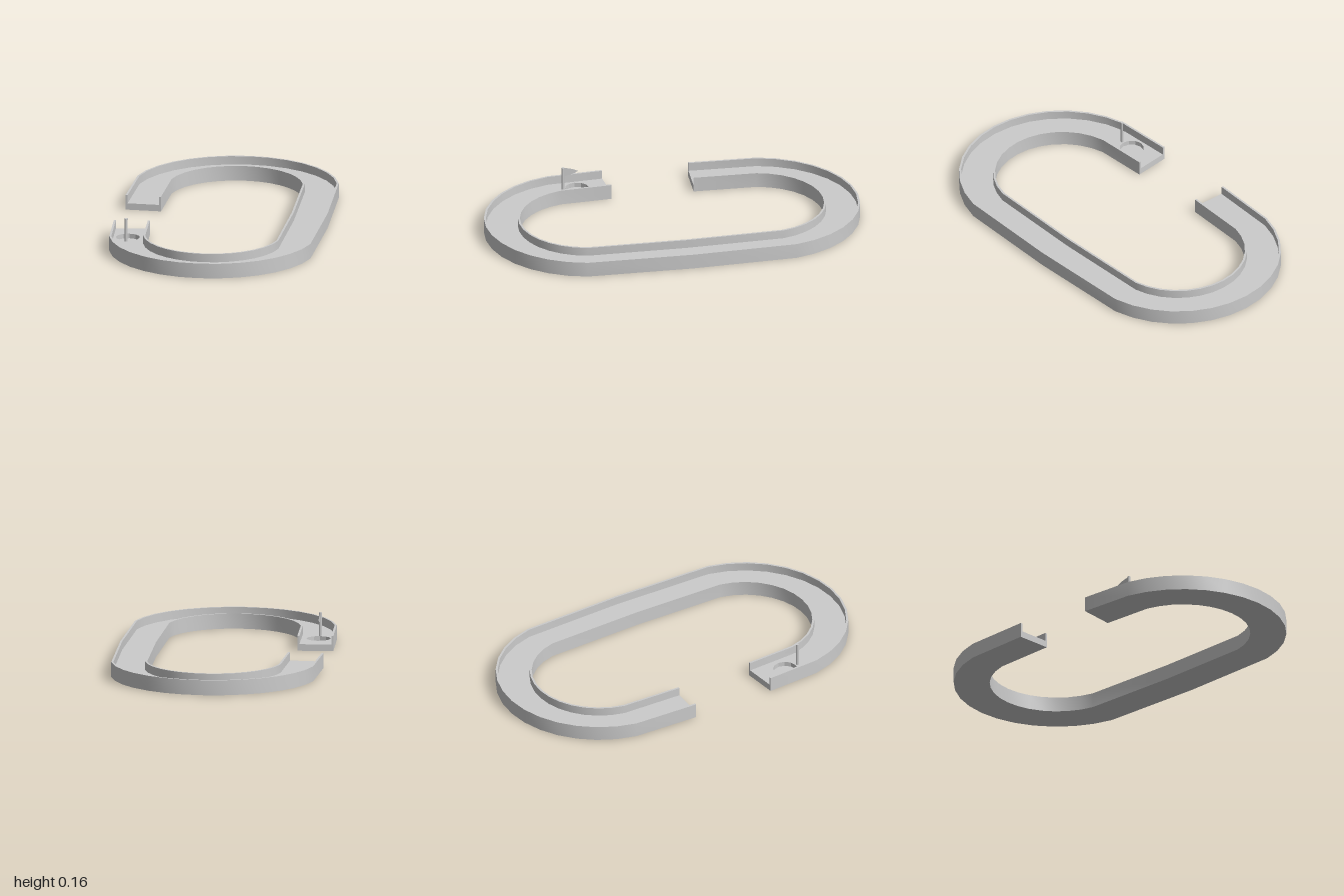
import * as THREE from 'three';
import { toCreasedNormals } from 'three/addons/utils/BufferGeometryUtils.js';

const FLOOR = 0.035, WALL_TOP = 0.08, HALF = 0.095, WALL = 0.011;
const CUP = { x: -0.455, z: 0.417, r: 0.064, bottom: 0.01 };

// Stations along the track: centre (x, z) and outward direction (nx, nz)
function trackStations() {
  const list = [[-0.455, -0.195, -0.998, -0.05]];
  const step = Math.PI / 16;
  for (let i = 1; i < 16; i++) {
    const c = Math.cos(i * step), s = Math.sin(i * step);
    list.push([-0.45 * c, -0.455 - 0.45 * s, -c, -s]);
  }
  list.push([0.455, 0, 1, 0]);
  for (let i = 1; i < 16; i++) {
    const c = Math.cos(i * step), s = Math.sin(i * step);
    list.push([0.45 * c, 0.455 + 0.45 * s, c, s]);
  }
  list.push([-0.455, 0.258, -0.997, 0.08]);
  return list;
}

// Flat strip between two sideways offsets from the track centre line
function stripShape(stations, a, b) {
  const at = (o) => stations.map(([x, z, nx, nz]) => new THREE.Vector2(x + nx * o, -(z + nz * o)));
  return new THREE.Shape([...at(a), ...at(b).reverse()]);
}

function slab(shape, y0, y1) {
  const g = new THREE.ExtrudeGeometry(shape, { depth: y1 - y0, bevelEnabled: false });
  g.rotateX(-Math.PI / 2);
  g.translate(0, y0, 0);
  return toCreasedNormals(g, 0.5);
}

export function createModel() {
  const group = new THREE.Group();
  const mat = new THREE.MeshStandardMaterial({ color: 0xcccccc });
  const thin = new THREE.MeshStandardMaterial({ color: 0xcccccc, side: THREE.DoubleSide });
  const add = (name, geometry, material = mat) => {
    const mesh = new THREE.Mesh(geometry, material);
    mesh.name = name;
    group.add(mesh);
    return mesh;
  };
  const stations = trackStations();
  const inner = HALF - WALL;

  // Base plate closes the bottom of the cup
  add('basePlate', slab(stripShape(stations, -inner, inner), 0, CUP.bottom));

  // Playing floor with the cup cut out
  const floor = stripShape(stations, -inner, inner);
  const hole = [];
  for (let i = 0; i < 12; i++) {
    const a = (i * Math.PI) / 6;
    hole.push(new THREE.Vector2(CUP.x + CUP.r * Math.cos(a), -CUP.z + CUP.r * Math.sin(a)));
  }
  floor.holes.push(new THREE.Path(hole));
  add('floor', slab(floor, CUP.bottom, FLOOR));

  // Side walls
  add('innerWall', slab(stripShape(stations, -HALF, -inner), 0, WALL_TOP));
  add('outerWall', slab(stripShape(stations, inner, HALF), 0, WALL_TOP));

  // Flag pole behind the cup
  const poleZ = 0.493, poleTop = 0.16;
  const pole = add('flagPole', new THREE.CylinderGeometry(0.008, 0.008, poleTop - FLOOR, 8));
  pole.position.set(CUP.x, (poleTop + FLOOR) / 2, poleZ);

  // Pennant with bowed edges, pointing to the back
  const pennant = new THREE.Shape();
  pennant.moveTo(0, 0.025);
  pennant.quadraticCurveTo(0.048, 0.02, 0.083, 0);
  pennant.quadraticCurveTo(0.048, -0.02, 0, -0.025);
  const flag = add('flag', new THREE.ShapeGeometry(pennant, 5), thin);
  flag.rotation.y = Math.PI / 2;
  flag.position.set(CUP.x, 0.134, poleZ);

  return group;
}
